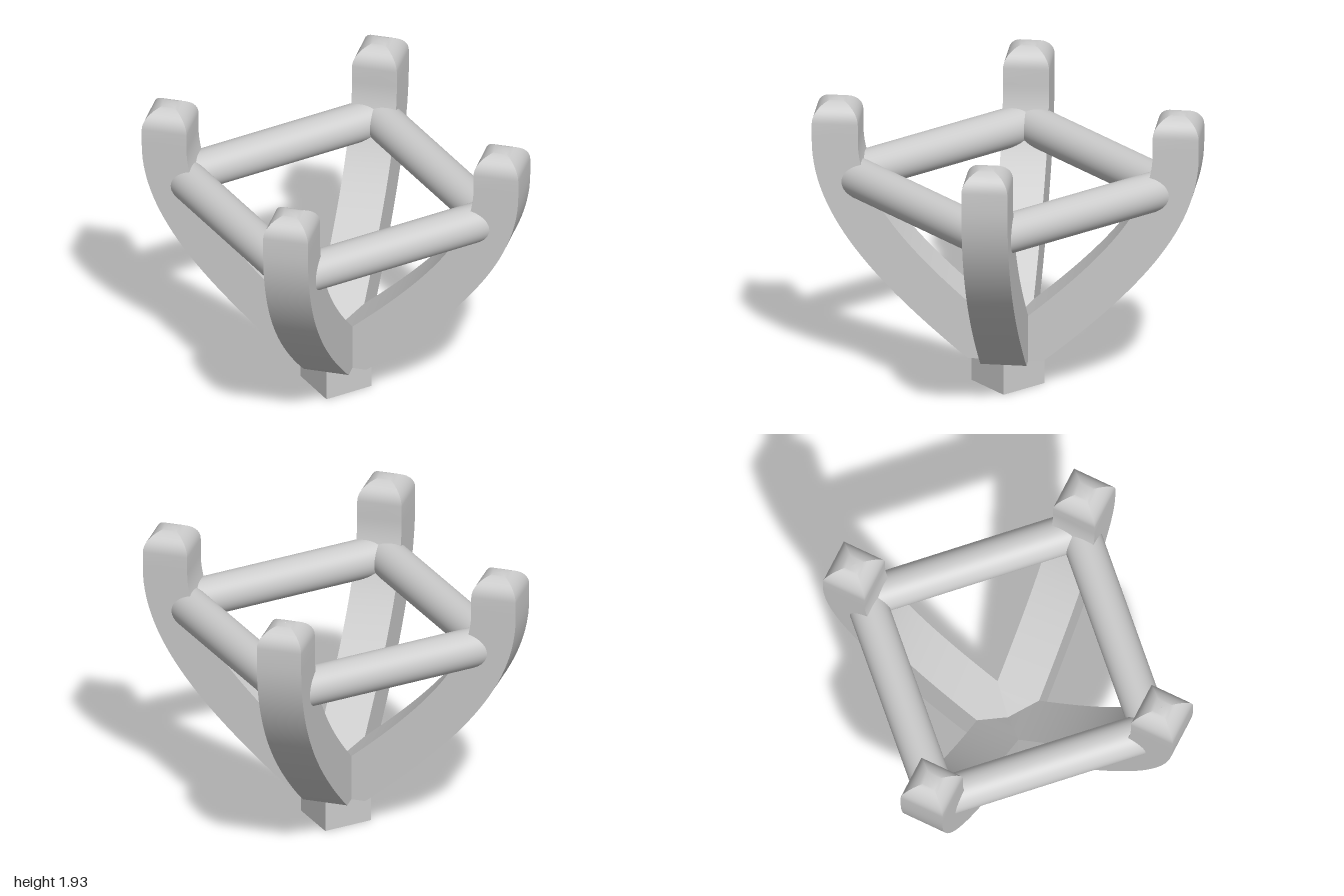
import * as THREE from 'three';
import { toCreasedNormals } from 'three/addons/utils/BufferGeometryUtils.js';

const HALF = 0.15; // half the side of a prong's square section

// Square-section prong, swept outward along +x and up, with a domed, mitred tip
function prongGeometry() {
  const path = new THREE.CubicBezierCurve(
    new THREE.Vector2(0.147, 0.323), new THREE.Vector2(0.75, 0.825),
    new THREE.Vector2(1.11, 1.24), new THREE.Vector2(1.11, 1.68));
  // each section: outer point, inner point, half width
  const sections = [[0, 0.21, 0, 0.393, HALF]];
  const steps = 28;
  for (let i = 0; i <= steps; i++) {
    const p = path.getPoint(i / steps), d = path.getTangent(i / steps);
    const ox = d.y * HALF, oy = -d.x * HALF;
    sections.push([p.x + ox, i ? p.y + oy : 0.21, p.x - ox, p.y - oy, HALF]);
  }
  // straight top, then quarter-ellipse dome
  for (let i = 0; i <= 10; i++) {
    const a = (i / 10) * Math.PI / 2;
    const h = Math.max(HALF * Math.cos(a), 0.001), y = 1.79 + 0.137 * Math.sin(a);
    sections.push([1.11 + h, y, 1.11 - h, y, h]);
  }

  const positions = [], index = [];
  sections.forEach(([ox, oy, ix, iy, h], i) => {
    positions.push(ox, oy, h, ox, oy, -h, ix, iy, -h, ix, iy, h);
    if (i === 0) return;
    for (let j = 0; j < 4; j++) {
      const a = (i - 1) * 4 + j, b = (i - 1) * 4 + (j + 1) % 4;
      index.push(a, b, b + 4, a, b + 4, a + 4);
    }
  });
  const geometry = new THREE.BufferGeometry();
  geometry.setAttribute('position', new THREE.Float32BufferAttribute(positions, 3));
  geometry.setIndex(index);
  return toCreasedNormals(geometry, 0.5);
}

export function createModel() {
  const model = new THREE.Group();
  model.name = 'prongSetting';
  const material = new THREE.MeshStandardMaterial({ color: 0xcccccc });
  const add = (name, geometry) => {
    const mesh = new THREE.Mesh(geometry, material);
    mesh.name = name;
    model.add(mesh);
    return mesh;
  };

  // Square peg under the prongs
  add('basePeg', new THREE.BoxGeometry(0.336, 0.22, 0.336)).position.y = 0.11;

  // Four prongs on the diagonals and four round bars between them
  const prong = prongGeometry();
  const bar = new THREE.CylinderGeometry(0.13, 0.13, 1.46, 48);
  bar.rotateZ(Math.PI / 2).translate(0, 1.395, 0.73);
  for (let k = 0; k < 4; k++) {
    add('prong' + (k + 1), prong).rotation.y = Math.PI / 4 + k * Math.PI / 2;
    add('crossBar' + (k + 1), bar).rotation.y = k * Math.PI / 2;
  }
  return model;
}
